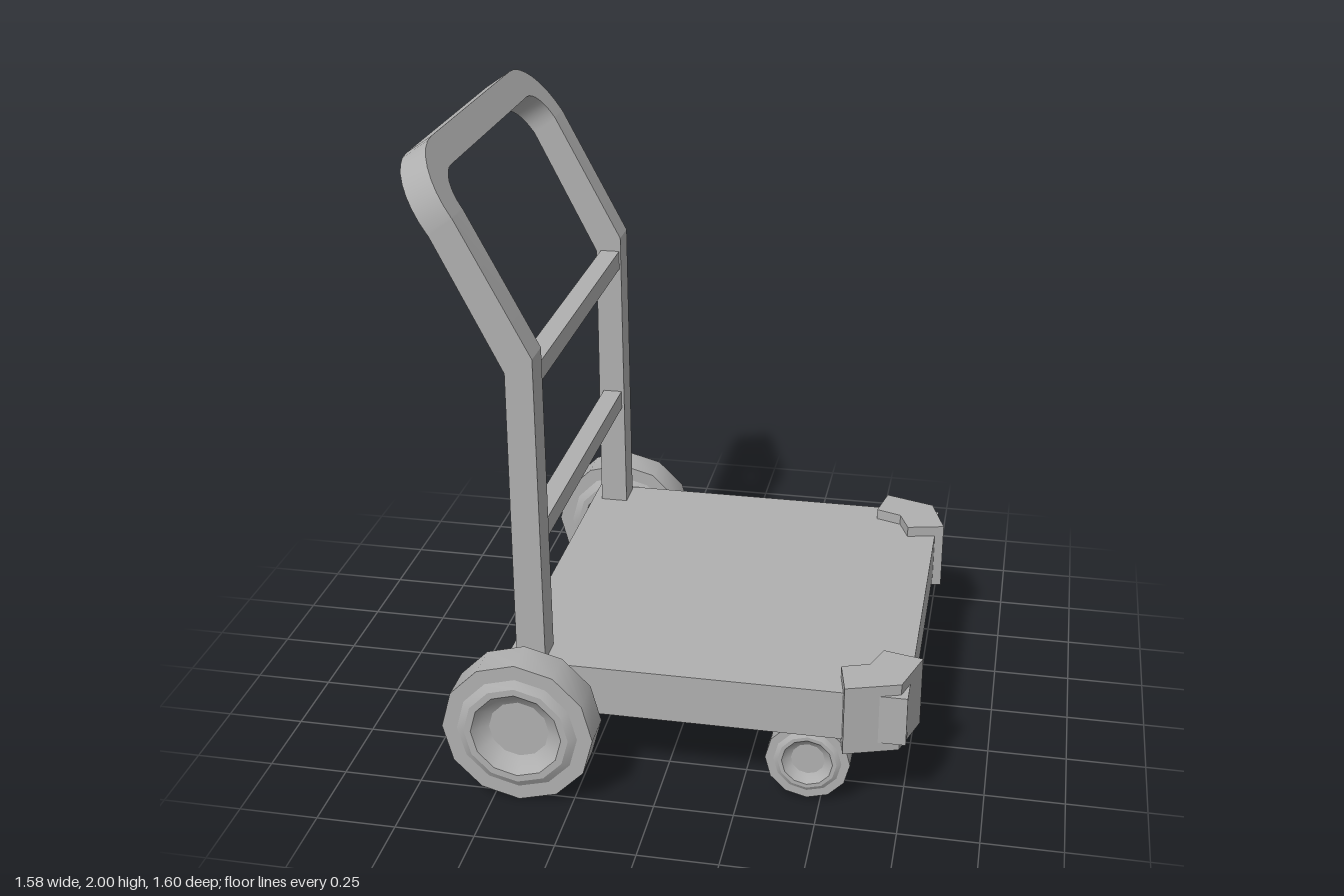
import * as THREE from 'three';
import { toCreasedNormals } from 'three/addons/utils/BufferGeometryUtils.js';

const grey = new THREE.MeshStandardMaterial({ color: 0xb0b0b0 });
grey.name = 'grey';

function add(group, name, geometry, x = 0, y = 0, z = 0) {
  const mesh = new THREE.Mesh(geometry, grey);
  mesh.name = name;
  mesh.position.set(x, y, z);
  group.add(mesh);
  return mesh;
}

// Bent side profile of the handle: [length along it, back x, back y, front x, front y]
const bend = [
  [0, -0.458, 0.38, -0.366, 0.38],
  [1.005, -0.458, 1.36, -0.373, 1.41],
  [1.465, -0.664, 1.765, -0.59, 1.82],
  [1.683, -0.79, 1.945, -0.71, 2.0],
];

function onBend(s, front) {
  let i = 0;
  while (i < bend.length - 2 && s > bend[i + 1][0]) i++;
  const a = bend[i], b = bend[i + 1], k = front ? 3 : 1;
  const t = (s - a[0]) / (b[0] - a[0]);
  return [a[k] + (b[k] - a[k]) * t, a[k + 1] + (b[k + 1] - a[k + 1]) * t];
}

// Rectangular bar following a rounded arch, laid onto the bent profile
function handleGeometry() {
  const outerR = 0.21, innerR = 0.11, zc = 0.41, sc = 1.473;
  const half = [0, 1.005, 1.465].map((s) => [s, zc + outerR, s, zc + innerR]);
  for (let i = 0; i <= 8; i++) {
    const a = (i / 8) * Math.PI / 2, c = Math.cos(a), n = Math.sin(a);
    half.push([sc + outerR * n, zc + outerR * c, sc + innerR * n, zc + innerR * c]);
  }
  const path = [
    ...half.map(([so, zo, si, zi]) => [so, -zo, si, -zi]),
    ...half.slice().reverse(),
  ];
  const rings = path.map(([so, zo, si, zi]) => [
    [...onBend(so, false), zo], [...onBend(so, true), zo],
    [...onBend(si, true), zi], [...onBend(si, false), zi],
  ]);
  const pos = [];
  const quad = (a, b, c, d) => pos.push(...a, ...b, ...c, ...a, ...c, ...d);
  for (let i = 0; i < rings.length - 1; i++) {
    for (let j = 0; j < 4; j++) {
      const k = (j + 1) % 4;
      quad(rings[i][j], rings[i + 1][j], rings[i + 1][k], rings[i][k]);
    }
  }
  const first = rings[0], last = rings[rings.length - 1];
  quad(first[0], first[1], first[2], first[3]);
  quad(last[3], last[2], last[1], last[0]);
  const g = new THREE.BufferGeometry();
  g.setAttribute('position', new THREE.Float32BufferAttribute(pos, 3));
  return toCreasedNormals(g, 0.4);
}

// Twelve-sided wheel with a raised hub ring and a recessed centre on both faces
function wheelGeometry(scale) {
  const side = [
    [0, 0.035], [0.095, 0.035], [0.118, 0.05], [0.143, 0.075],
    [0.165, 0.075], [0.19, 0.06], [0.238, 0.06],
  ];
  const profile = [
    ...side.map(([r, h]) => new THREE.Vector2(r * scale, -h * scale)),
    ...side.slice().reverse().map(([r, h]) => new THREE.Vector2(r * scale, h * scale)),
  ];
  const g = new THREE.LatheGeometry(profile, 12);
  g.deleteAttribute('normal');
  g.rotateX(Math.PI / 2);
  return toCreasedNormals(g, 0.53);
}

// Chevron block wrapped around a deck corner
function bumperGeometry(side) {
  const outline = [
    [0.57, 0.672], [0.736, 0.617], [0.787, 0.455],
    [0.664, 0.426], [0.63, 0.515], [0.545, 0.545],
  ];
  const shape = new THREE.Shape(outline.map(([x, z]) => new THREE.Vector2(x, -z * side)));
  const g = new THREE.ExtrudeGeometry(shape, { depth: 0.23, bevelEnabled: false });
  g.rotateX(-Math.PI / 2);
  return g;
}

export function createModel() {
  const cart = new THREE.Group();
  cart.name = 'platformCart';

  // Load deck
  add(cart, 'deck', new THREE.BoxGeometry(1.247, 0.163, 1.276), 0.134, 0.327, 0);

  // Push handle and cross rungs
  add(cart, 'handle', handleGeometry());
  for (const [name, y] of [['lowerRung', 0.807], ['upperRung', 1.33]]) {
    add(cart, name, new THREE.BoxGeometry(0.064, 0.064, 1.06), -0.41, y, 0);
  }

  // Wheels and corner bumpers on both sides
  const rear = wheelGeometry(1), caster = wheelGeometry(0.555);
  for (const side of [1, -1]) {
    const tag = side > 0 ? 'left' : 'right';
    add(cart, tag + 'RearWheel', rear, -0.418, 0.241, side * 0.727);
    add(cart, tag + 'Caster', caster, 0.458, 0.141, side > 0 ? 0.588 : -0.565);
    add(cart, tag + 'Bumper', bumperGeometry(side), 0, 0.214, 0);
  }
  return cart;
}
